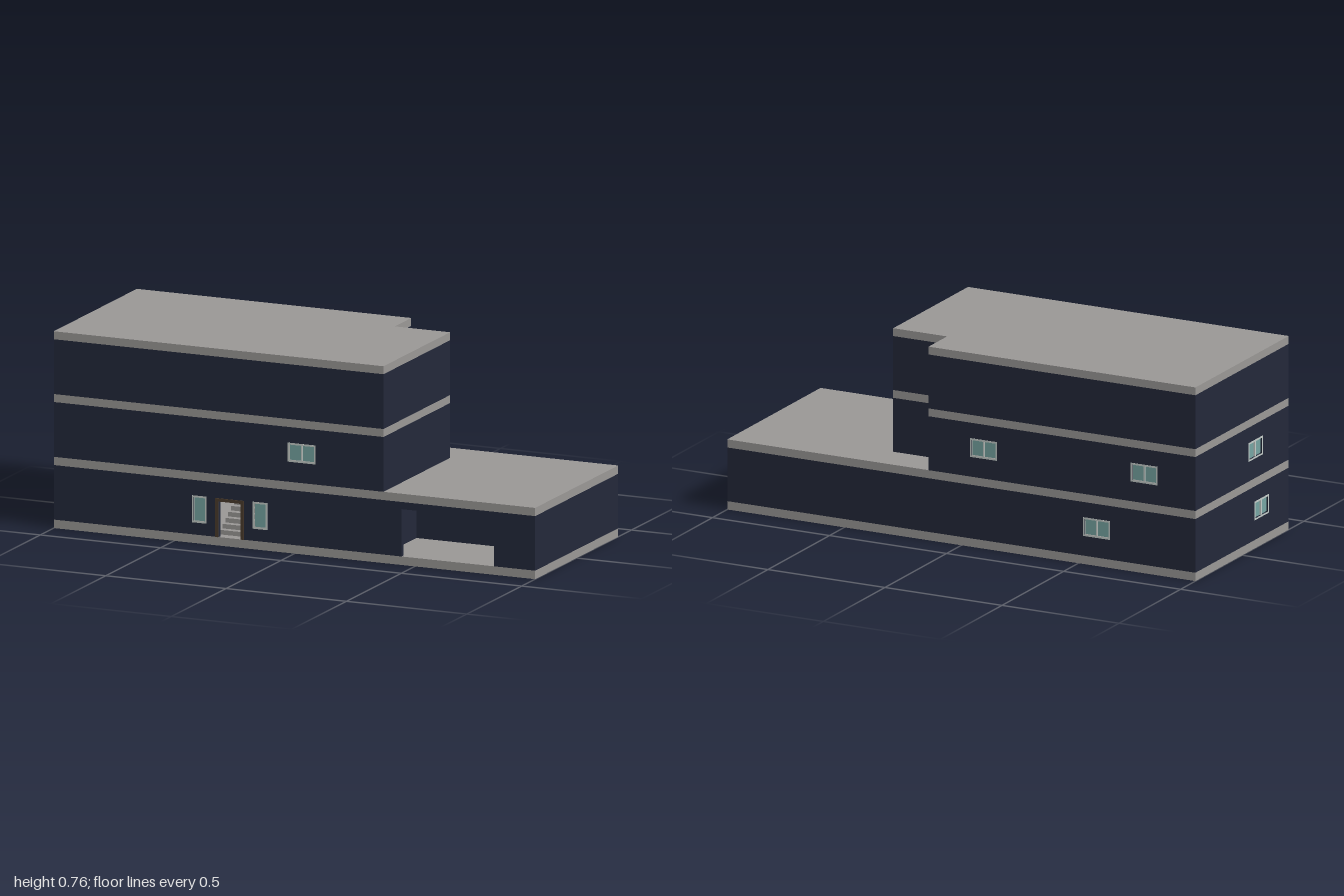
import * as THREE from 'three';

const mat = (color) => new THREE.MeshStandardMaterial({ color });
const FRONT = 0.377, BACK = -0.38, T = 0.016;

export function createModel() {
  const model = new THREE.Group();
  const wallMat = mat(0x23283a), slabMat = mat(0x9a9896), frameMat = mat(0xc4ccc8);
  const glassMat = mat(0x76a5a2), doorMat = mat(0x4a3a2c);

  const add = (parent, name, geometry, material) => {
    const mesh = new THREE.Mesh(geometry, material);
    mesh.name = name;
    parent.add(mesh);
    return mesh;
  };
  const box = (parent, name, material, x0, x1, y0, y1, z0, z1) => {
    const m = add(parent, name, new THREE.BoxGeometry(x1 - x0, y1 - y0, z1 - z0), material);
    m.position.set((x0 + x1) / 2, (y0 + y1) / 2, (z0 + z1) / 2);
    return m;
  };
  const rectPath = (x0, x1, y0, y1) => new THREE.Path([
    [x0, y0], [x0, y1], [x1, y1], [x1, y0]].map(([x, y]) => new THREE.Vector2(x, y)));

  // Footprints as [x, z], running left to right seen from outside
  const ground = [[-1, FRONT], [1, FRONT], [1, BACK], [-1, BACK]];
  const upper = [[-1, FRONT], [0.37, FRONT], [0.37, -0.23], [0.14, -0.23], [0.14, BACK], [-1, BACK]];

  // Horizontal floor bands and roof
  const slab = (name, points, y0, y1) => {
    const shape = new THREE.Shape(points.map(([x, z]) => new THREE.Vector2(x, -z)));
    const g = new THREE.ExtrudeGeometry(shape, { depth: y1 - y0, bevelEnabled: false });
    g.rotateX(-Math.PI / 2).translate(0, y0, 0);
    add(model, name, g, slabMat);
  };
  slab('groundSlab', ground, 0, 0.033);
  slab('firstFloorSlab', ground, 0.245, 0.277);
  slab('secondFloorSlab', upper, 0.49, 0.521);
  slab('roofSlab', upper, 0.734, 0.765);

  // Window in wall coordinates: frame, glass and an optional mullion
  const addWindow = (parent, { x0, x1, y0, y1, mullion }) => {
    const group = new THREE.Group();
    group.name = 'window';
    const f = 0.007;
    const shape = new THREE.Shape(rectPath(x0, x1, y0, y1).getPoints());
    shape.holes.push(rectPath(x0 + f, x1 - f, y0 + f, y1 - f));
    const g = new THREE.ExtrudeGeometry(shape, { depth: T, bevelEnabled: false });
    add(group, 'windowFrame', g.translate(0, 0, -T + 0.001), frameMat);
    box(group, 'windowGlass', glassMat, x0 + f, x1 - f, y0 + f, y1 - f, -0.01, -0.006);
    if (mullion) {
      const c = (x0 + x1) / 2;
      box(group, 'windowMullion', frameMat, c - 0.003, c + 0.003, y0 + f, y1 - f, -0.012, 0);
    }
    parent.add(group);
  };

  // One storey of walls; openings[i] belongs to side i, measured from its left end
  const storey = (name, points, y0, y1, openings) => {
    points.forEach(([ax, az], i) => {
      const [bx, bz] = points[(i + 1) % points.length];
      const length = Math.hypot(bx - ax, bz - az);
      const list = openings[i] || [];
      const outline = [[0, y0]];
      list.filter((o) => o.open).forEach((o) =>
        outline.push([o.x0, y0], [o.x0, o.y1], [o.x1, o.y1], [o.x1, y0]));
      outline.push([length, y0], [length, y1], [0, y1]);
      const shape = new THREE.Shape(outline.map(([x, y]) => new THREE.Vector2(x, y)));
      const windows = list.filter((o) => !o.open);
      windows.forEach((o) => shape.holes.push(rectPath(o.x0, o.x1, o.y0, o.y1)));
      const side = new THREE.Group();
      side.name = name;
      const g = new THREE.ExtrudeGeometry(shape, { depth: T, bevelEnabled: false });
      add(side, 'wall', g.translate(0, 0, -T), wallMat);
      windows.forEach((o) => addWindow(side, o));
      side.position.set(ax, 0, az);
      side.rotation.y = Math.atan2(-(bz - az), bx - ax);
      model.add(side);
    });
  };
  const wide = (c, y) => ({ x0: c - 0.058, x1: c + 0.058, y0: y - 0.037, y1: y + 0.037, mullion: true });
  const narrow = (c) => ({ x0: c - 0.03, x1: c + 0.03, y0: 0.08, y1: 0.185 });

  storey('groundFloor', ground, 0.033, 0.245, {
    0: [narrow(0.605), { open: true, x0: 0.685, x1: 0.78, y1: 0.173 }, narrow(0.857),
      { open: true, x0: 1.445, x1: 1.83, y1: 0.217 }],
    2: [wide(1.578, 0.148)],
    3: [wide(0.536, 0.148)],
  });
  storey('firstFloor', upper, 0.277, 0.49, {
    0: [wide(1.03, 0.392)],
    4: [wide(0.235, 0.392), wide(0.921, 0.392)],
    5: [wide(0.487, 0.392)],
  });
  storey('secondFloor', upper, 0.521, 0.734, {});

  // Garage partitions
  box(model, 'garageSideWall', wallMat, 0.355, 0.371, 0.033, 0.245, 0.08, FRONT - T);
  box(model, 'garageBackWall', wallMat, 0.355, 1 - T, 0.033, 0.245, 0.064, 0.08);

  // Entrance frame, slightly proud of the wall
  const entrance = new THREE.Group();
  entrance.name = 'entranceFrame';
  box(entrance, 'leftJamb', doorMat, -0.222, -0.21, 0.033, 0.173, FRONT - T, 0.381);
  box(entrance, 'rightJamb', doorMat, -0.328, -0.316, 0.033, 0.173, FRONT - T, 0.381);
  box(entrance, 'lintel', doorMat, -0.328, -0.21, 0.172, 0.184, FRONT - T, 0.381);
  model.add(entrance);

  // Staircase behind the entrance
  const stairs = new THREE.Group();
  stairs.name = 'staircase';
  const steps = 12, rise = 0.0176, tread = 0.026;
  for (let i = 0; i < steps; i++) {
    const z = 0.335 - i * tread;
    box(stairs, 'step', slabMat, -0.33, -0.208, 0.033, 0.033 + (i + 1) * rise, z - tread, z);
  }
  model.add(stairs);

  return model;
}
